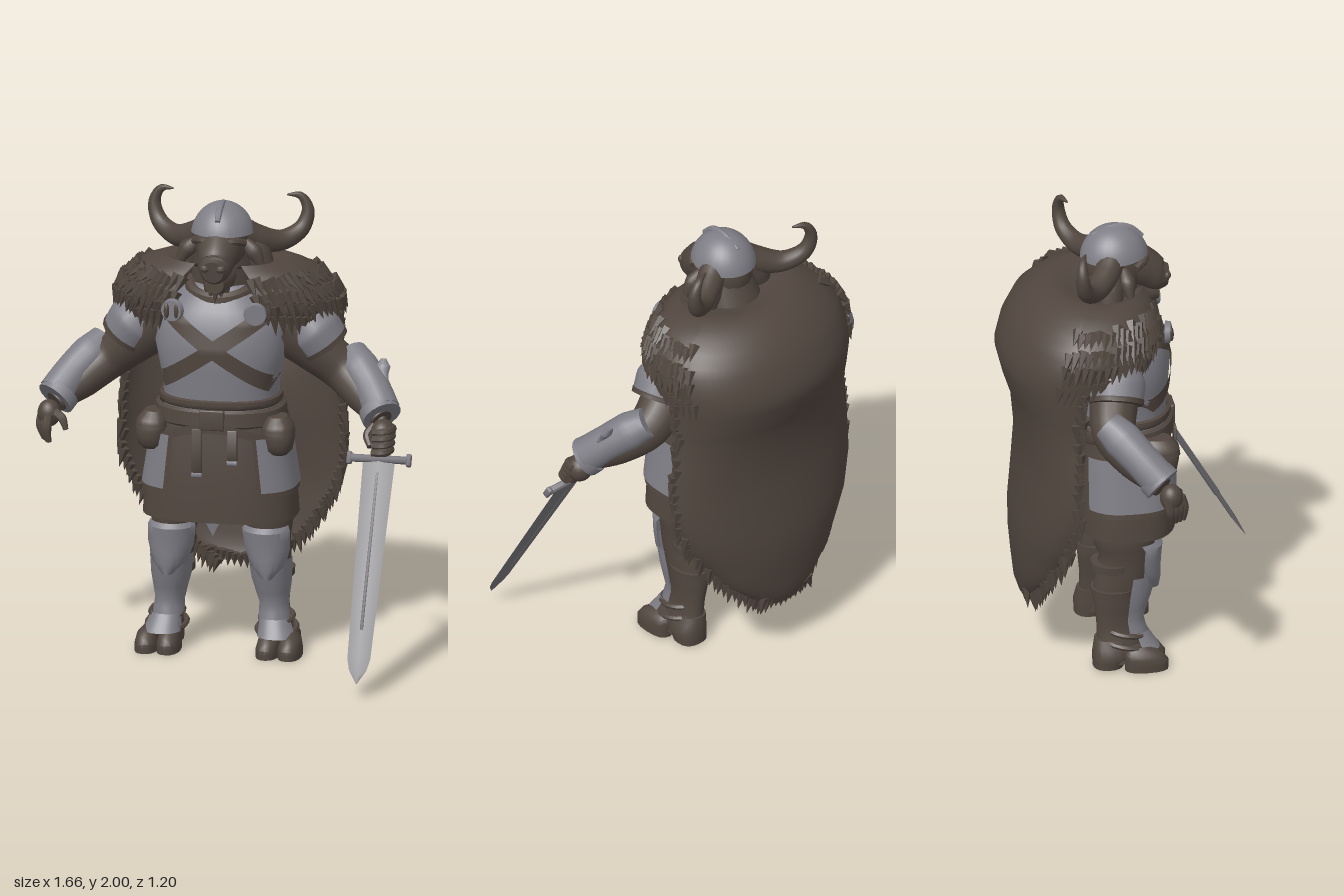
import * as THREE from 'three';
import { toCreasedNormals, mergeGeometries } from 'three/addons/utils/BufferGeometryUtils.js';
import { RoundedBoxGeometry } from 'three/addons/geometries/RoundedBoxGeometry.js';

const material = (name, color) => new THREE.MeshStandardMaterial({ name, color, side: THREE.DoubleSide });
let seed = 7;
const rand = () => (seed = (seed * 16807) % 2147483647) / 2147483647;

// Surface from a rule over two parameters running 0..1
function grid(nu, nv, fn) {
  const pos = [], idx = [];
  for (let j = 0; j <= nv; j++) for (let i = 0; i <= nu; i++) pos.push(...fn(i / nu, j / nv));
  for (let j = 0; j < nv; j++) for (let i = 0; i < nu; i++) {
    const a = j * (nu + 1) + i, b = a + nu + 1;
    idx.push(a, a + 1, b + 1, a, b + 1, b);
  }
  const g = new THREE.BufferGeometry();
  g.setAttribute('position', new THREE.Float32BufferAttribute(pos, 3));
  g.setIndex(idx);
  return g;
}

// Point on stacked rounded sections; rows are [y, half width, front z, back z, centre x]
function rowAt(rows, k) {
  const i = Math.min(Math.floor(k), rows.length - 2), f = k - i;
  return [0, 1, 2, 3, 4].map(c => (rows[i][c] ?? 0) * (1 - f) + (rows[i + 1][c] ?? 0) * f);
}
function sectionPoint(rows, a, k, p = 2.4) {
  const [y, rx, zf, zb, cx] = rowAt(rows, k), s = Math.sin(a), c = Math.cos(a);
  const bend = v => Math.sign(v) * Math.abs(v) ** (2 / p);
  return [cx + rx * bend(s), y, (zf + zb) / 2 + (zf - zb) / 2 * bend(c)];
}
function loft(rows, { n = 36, from = 0, to = Math.PI * 2, p = 2.4, cap = false, warp = q => q } = {}) {
  if (cap) {
    const close = r => [r[0], 0.0001, (r[2] + r[3]) / 2, (r[2] + r[3]) / 2, r[4] ?? 0];
    rows = [close(rows[0]), ...rows, close(rows.at(-1))];
  }
  return grid(n, (rows.length - 1) * 2, (u, v) => {
    const a = from + (to - from) * u;
    return warp(sectionPoint(rows, a, v * (rows.length - 1), p), a);
  });
}

// Round limb along a smooth path; points are [x, y, z, radius]
function limb(pts, { n = 16 } = {}) {
  const curve = new THREE.CatmullRomCurve3(pts.map(q => new THREE.Vector3(q[0], q[1], q[2])));
  const N = (pts.length - 1) * 5, fr = curve.computeFrenetFrames(N);
  return grid(n, N + 2, (u, v) => {
    const j = Math.round(v * (N + 2)) - 1, i = Math.max(0, Math.min(N, j));
    const t = curve.getUtoTmapping(i / N) * (pts.length - 1), k = Math.min(Math.floor(t), pts.length - 2);
    const r = i === j ? pts[k][3] + (pts[k + 1][3] - pts[k][3]) * (t - k) : 0;
    const a = u * Math.PI * 2;
    return curve.getPointAt(i / N).addScaledVector(fr.normals[i], r * Math.cos(a))
      .addScaledVector(fr.binormals[i], r * Math.sin(a)).toArray();
  });
}
const ball = (x, y, z, rx, ry, rz) => new THREE.SphereGeometry(1, 20, 14).scale(rx, ry, rz).translate(x, y, z);
const box = (w, h, d, x, y, z) => new RoundedBoxGeometry(w, h, d, 2, Math.min(w, h, d) * 0.3).translate(x, y, z);

// Pointed fur lock
function tuft(at, dir, len, r) {
  const g = new THREE.ConeGeometry(r, len, 5).translate(0, len * 0.25, 0);
  const q = new THREE.Quaternion().setFromUnitVectors(new THREE.Vector3(0, 1, 0), new THREE.Vector3(...dir).normalize());
  return g.applyQuaternion(q).translate(...at);
}

function mirrored(g) {
  const m = (g.index ? g.toNonIndexed() : g.clone()).scale(-1, 1, 1), p = m.attributes.position;
  for (let i = 0; i < p.count; i += 3) {
    const b = [p.getX(i + 1), p.getY(i + 1), p.getZ(i + 1)];
    p.setXYZ(i + 1, p.getX(i + 2), p.getY(i + 2), p.getZ(i + 2));
    p.setXYZ(i + 2, ...b);
  }
  return m;
}

export function createModel() {
  const model = new THREE.Group(), body = new THREE.Group();
  model.name = 'hornedWarrior';
  body.name = 'body';
  body.position.x = -0.035;
  model.add(body);
  const brown = material('dark brown', 0x51463f), steel = material('steel grey', 0x7f7e86), bladeMat = material('blade grey', 0x77757a);
  const add = (name, geo, mat, parent = body) => {
    geo.deleteAttribute('uv');
    const mesh = new THREE.Mesh(toCreasedNormals(geo, 0.75), mat);
    mesh.name = name;
    parent.add(mesh);
  };
  const pair = (name, geo, mat) => {
    add(name + 'Left', geo, mat);
    add(name + 'Right', mirrored(geo), mat);
  };

  // Torso and crossed straps
  const torso = [[1.08, .245, .125, -.25], [1.2, .25, .135, -.26], [1.38, .285, .148, -.28], [1.5, .265, .125, -.28], [1.59, .19, .075, -.26], [1.64, .13, .03, -.24]];
  add('breastplate', loft(torso, { cap: true }), steel);
  const chestZ = (x, y) => {
    let k = 0;
    while (k < torso.length - 2 && torso[k + 1][0] < y) k++;
    const [, rx, zf, zb] = rowAt(torso, k + (y - torso[k][0]) / (torso[k + 1][0] - torso[k][0]));
    return (zf + zb) / 2 + (zf - zb) / 2 * Math.max(0, 1 - Math.abs(x / rx) ** 2.4) ** (1 / 2.4);
  };
  for (const s of [-1, 1]) add('chestStrap', grid(24, 4, (u, v) => {
    const x = s * (-.225 + .47 * u) + s * (v - .5) * .035, y = 1.54 - .32 * u + (v - .5) * .06;
    return [x, y, chestZ(x, y) + .009];
  }), brown);
  add('collar', new THREE.TorusGeometry(.135, .018, 8, 28).rotateX(Math.PI / 2 + .3).translate(0, 1.6, -.06), steel);
  add('collarLining', new THREE.TorusGeometry(.13, .03, 8, 28).rotateX(Math.PI / 2 + .3).translate(0, 1.63, -.07), brown);

  // Skirt, side plates and belts
  const skirt = [[.62, .335, .165, -.27], [.75, .325, .165, -.27], [.9, .30, .16, -.265], [1.06, .265, .145, -.26]];
  add('skirt', loft(skirt, { p: 2.8 }), brown);
  const plate = (y0, y1, o) => [y0, (y0 + y1) / 2, y1].map(y => [y, .335 - (y - .7) * .16 + o, .165 + o, -.27 - o]);
  pair('sidePlateTrim', loft(plate(.735, 1.01, .006), { from: .5, to: 2.45, n: 20, p: 2.8 }), brown);
  pair('sidePlate', loft(plate(.76, 1.0, .013), { from: .56, to: 2.38, n: 20, p: 2.8 }), steel);
  add('belt', loft([[1.04, .275, .155, -.27], [1.05, .285, .165, -.275], [1.11, .28, .162, -.275], [1.12, .265, .15, -.27]]), brown);
  add('upperBelt', loft([[1.12, .258, .145, -.265], [1.13, .265, .152, -.27], [1.155, .263, .152, -.27], [1.16, .25, .14, -.26]]), brown);
  add('lowBelt', loft([[.99, .3, .165, -.27], [1.03, .292, .165, -.27]], { warp: ([x, y, z], a) => [x, y + .03 * Math.cos(3 * a), z] }), brown);
  add('buckle', box(.11, .09, .02, 0, 1.08, .162), brown);
  for (const [x, h] of [[-.065, .2], [.09, .14]]) {
    add('hangingStrap', box(.045, h, .012, x, 1.04 - h / 2, .166), brown);
    add('strapTip', box(.046, .022, .014, x, 1.035 - h, .166), steel);
  }
  pair('pouch', loft([[.925, .035, .12, .02, .28], [.945, .055, .14, .01, .28], [1.0, .066, .15, 0, .28], [1.05, .06, .142, 0, .275], [1.085, .04, .11, .01, .27]], { cap: true, n: 20, p: 2.6 }), brown);
  pair('pouchFlap', loft([[1.02, .07, .156, 0, .277], [1.055, .066, .15, 0, .275], [1.09, .04, .115, .01, .27]], { n: 20, p: 2.6, cap: true }), brown);
  add('loinTip', new THREE.ConeGeometry(.045, .09, 4).rotateX(Math.PI).scale(1, 1, .3).translate(0, .6, .14), steel);

  // Legs, greaves and hoofed feet
  pair('leg', loft([[.03, .075, -.02, -.21, .25], [.12, .06, 0, -.2, .238], [.2, .055, -.03, -.2, .228], [.34, .078, .01, -.215, .217], [.44, .085, .04, -.2, .212], [.51, .09, .05, -.185, .208], [.6, .105, .06, -.215, .205], [.76, .125, .09, -.225, .16]], { cap: true, p: 2.1 }), brown);
  pair('greave', loft([[.15, .07, .02, -.16, .232], [.22, .064, .004, -.165, .228], [.33, .088, .04, -.19, .22], [.43, .096, .066, -.19, .215]], { from: -1.5, to: 1.5, n: 20, p: 2.1 }), steel);
  pair('kneePlate', loft([[.35, .03, .072, -.1, .218], [.4, .08, .08, -.15, .215], [.48, .104, .082, -.16, .21], [.56, .108, .09, -.16, .206], [.58, .098, .07, -.16, .206]], { from: -1.3, to: 1.3, n: 18, p: 2.1 }), steel);
  for (const [y, cx] of [[.33, .218], [.45, .212]])
    pair('calfBand', loft([[y, .088, -.02, -.222, cx], [y + .035, .09, -.02, -.222, cx]], { p: 2.1, cap: true }), brown);
  pair('anklePlate', loft([[.085, .085, .07, -.13, .25], [.12, .075, .045, -.13, .243], [.16, .066, .02, -.13, .236]], { from: -1.4, to: 1.4, n: 16 }), steel);
  for (const [y, r] of [[.105, .085], [.155, .07]])
    pair('ankleStrap', new THREE.TorusGeometry(r, .012, 6, 20).rotateX(Math.PI / 2 + .2).scale(1, 1, 1.2).translate(.24, y, -.07), brown);
  for (const x of [.217, .313])
    pair('hoofToe', loft([[0, .05, .1, -.09, x], [.04, .05, .1, -.09, x], [.075, .042, .075, -.09, x], [.105, .022, .02, -.07, x - .01]], { cap: true, n: 16 }), brown);
  pair('heel', loft([[.005, .07, -.09, -.22, .255], [.06, .075, -.05, -.222, .255], [.13, .06, -.04, -.21, .24]], { cap: true, n: 20 }), brown);

  // Arms; the guards cover only the outer side of the forearms
  pair('arm', limb([[.26, 1.44, -.12, .115], [.39, 1.34, -.15, .105], [.51, 1.245, -.165, .095], [.62, 1.155, -.085, .08], [.715, 1.08, .01, .048]]), brown);
  pair('shoulderPlate', limb([[.35, 1.47, -.13, .105], [.385, 1.425, -.135, .125], [.43, 1.36, -.145, .116]]), steel);
  pair('shoulderTrim', limb([[.422, 1.37, -.143, .121], [.434, 1.352, -.146, .118]]), brown);
  pair('forearmGuard', limb([[.54, 1.31, -.2, .068], [.59, 1.26, -.145, .084], [.655, 1.195, -.078, .078], [.713, 1.115, -.003, .08]]), steel);
  pair('cuffRim', limb([[.69, 1.125, -.02, .085], [.715, 1.095, .01, .088]]), steel);
  add('palmRight', ball(-.735, 1.04, .045, .05, .06, .05), brown);
  for (let i = 0; i < 4; i++)
    add('fingerRight', limb([[-.765 + i * .012, 1.04, .02 + i * .022, .021], [-.775 + i * .014, .985, .035 + i * .022, .02], [-.755 + i * .01, .925, .045 + i * .018, .011]], { n: 8 }), brown);
  add('thumbRight', limb([[-.71, 1.05, .06, .022], [-.67, 1.03, .085, .019], [-.65, .985, .1, .011]], { n: 8 }), brown);
  add('fistLeft', ball(.725, 1.03, .035, .055, .06, .06), brown);
  for (let i = 0; i < 4; i++)
    add('fingerLeft', limb([[.765, 1.05 - i * .027, .02 + i * .015, .02], [.745, 1.045 - i * .027, .08 + i * .012, .02], [.69, 1.04 - i * .027, .075 + i * .012, .016]], { n: 8 }), brown);
  add('thumbLeft', limb([[.69, 1.06, .03, .022], [.66, 1.02, .05, .02], [.68, .98, .09, .015]], { n: 8 }), brown);

  // Head
  add('neck', limb([[0, 1.52, -.16, .16], [0, 1.66, -.12, .145], [0, 1.78, -.09, .12]]), brown);
  add('skull', ball(0, 1.82, -.08, .118, .16, .145), brown);
  add('forehead', ball(0, 1.85, -.005, .06, .055, .07), brown);
  add('muzzle', limb([[0, 1.82, -.04, .105], [0, 1.775, .05, .085], [0, 1.74, .1, .072], [0, 1.735, .145, .048]]), brown);
  add('jaw', limb([[0, 1.70, -.05, .095], [0, 1.67, .03, .065], [0, 1.67, .105, .042]]), brown);
  pair('nostril', ball(.035, 1.75, .138, .022, .018, .018), brown);
  pair('brow', limb([[.02, 1.845, .055, .016], [.075, 1.845, .03, .018], [.11, 1.83, -.01, .016]], { n: 8 }), brown);
  add('beard', mergeGeometries([0, 1, 2, 3, 4].map(i => tuft([(i - 2) * .02, 1.645, .085 - Math.abs(i - 2) * .02], [(i - 2) * .1, -1, .1], .09 - Math.abs(i - 2) * .012, .026))), brown);
  pair('ear', limb([[.1, 1.82, -.06, .025], [.145, 1.78, -.05, .036], [.185, 1.71, -.04, .01]], { n: 10 }), brown);
  pair('mane', limb([[.09, 1.84, -.13, .05], [.135, 1.76, -.13, .065], [.17, 1.67, -.13, .055]]), brown);

  // Helmet and horns
  add('helmet', new THREE.SphereGeometry(1, 28, 12, 0, Math.PI * 2, 0, 1.4).scale(.138, .158, .15).rotateX(-.05).translate(0, 1.832, -.085), steel);
  add('helmetRidge', limb([[0, 1.93, .035, .012], [0, 1.975, -.02, .016], [0, 1.984, -.08, .015], [0, 1.95, -.18, .01]], { n: 8 }), steel);
  pair('horn', limb([[.06, 1.87, -.1, .06], [.145, 1.815, -.15, .058], [.235, 1.795, -.21, .045], [.312, 1.84, -.26, .036], [.336, 1.92, -.275, .027], [.305, 1.98, -.27, .017], [.25, 1.988, -.25, .004]]), brown);

  // Cloak, from hem to collar
  const cloak = [[.27, .1, -.45, -.5], [.33, .18, -.44, -.52], [.43, .29, -.41, -.53], [.54, .37, -.36, -.54], [.65, .44, -.33, -.54], [.8, .49, -.3, -.525], [1, .49, -.29, -.51], [1.2, .465, -.29, -.53], [1.32, .47, -.285, -.57], [1.43, .475, -.275, -.598], [1.52, .475, -.26, -.575], [1.61, .455, -.225, -.53], [1.69, .37, -.19, -.45], [1.735, .26, -.165, -.36], [1.7, .13, -.12, -.23]]
    .map(([y, w, edge, back]) => [y, w, 2 * edge - back, back]);
  add('cloak', loft(cloak, { from: Math.PI / 2, to: Math.PI * 1.5, n: 36, p: 2 }), brown);
  const locks = [];
  for (let k = 0; k < 9; k += .22) for (const s of [-1, 1])
    locks.push(tuft(sectionPoint(cloak, s * (Math.PI / 2 + .02 + rand() * .12), k, 2), [s * (.05 + rand() * .25), -1, .05], .06 + rand() * .04, .026));
  for (let i = 0; i < 11; i++) locks.push(tuft([(i - 5) * .026, .285 + Math.abs(i - 5) * .005, -.485], [(i - 5) * .06, -1, 0], .06 + rand() * .03, .024));
  add('cloakFringe', mergeGeometries(locks), brown);

  // Fur mantle over each shoulder, running into the cloak
  const mantle = [[1.40, .475, .075, -.593], [1.51, .49, .1, -.578], [1.61, .462, .095, -.535], [1.69, .378, .07, -.45], [1.735, .262, .03, -.36], [1.70, .13, -.01, -.23]];
  const lift = ([x, y, z], a) => [x, y + Math.max(0, 1.62 - y) / .22 * .055 * (1 + Math.cos(a)), z];
  const open = .36, end = 1.95, mantlePoint = (a, k) => lift(sectionPoint(mantle, a, k, 2.15), a);
  pair('furMantle', loft(mantle, { from: open, to: end, n: 24, p: 2.15, warp: lift }), brown);
  const fur = [];
  for (let k = 0; k < 4; k++) for (let i = 0; i <= 19; i++) {
    const a = open + (end - open) * i / 19, row = k ? k * .85 + rand() * .3 : 0;
    const at = mantlePoint(a, row), up = mantlePoint(a, row + .4), down = k ? mantlePoint(a, row - .3) : at;
    fur.push(tuft(at, [down[0] - up[0] + Math.sin(a) * .01, down[1] - up[1], down[2] - up[2] + Math.cos(a) * .01], .065 + rand() * .035, .026));
  }
  pair('mantleFur', mergeGeometries(fur), brown);
  pair('cloakClasp', new THREE.CylinderGeometry(.046, .05, .025, 24).rotateX(Math.PI / 2).rotateY(.2).translate(.182, 1.55, .118), steel);
  for (const s of [-1, 1]) add('claspEmblem', ball(-.182 + s * .022, 1.55, .131, .012, .034, .01), brown);

  // Sword, leaning forward out of the left fist
  const sword = new THREE.Group();
  sword.name = 'sword';
  sword.position.set(.685, .92, .1);
  sword.rotation.x = -.532;
  model.add(sword);
  add('blade', loft([[-.99, .002, .001, -.001], [-.93, .038, .006, -.006], [-.88, .05, .01, -.01], [-.4, .061, .012, -.012], [0, .07, .014, -.014]], { n: 4, p: 2 }), bladeMat, sword);
  add('fuller', box(.014, .7, .027, 0, -.4, 0), bladeMat, sword);
  add('guard', box(.26, .032, .032, 0, .01, 0), bladeMat, sword);
  for (const s of [-1, 1]) add('guardEnd', box(.022, .055, .03, s * .13, .01, 0), bladeMat, sword);
  add('grip', limb([[0, .02, 0, .022], [-.008, .16, 0, .025], [-.016, .3, 0, .02]], { n: 12 }), brown, sword);
  add('pommel', limb([[-.016, .28, 0, .02], [-.02, .33, 0, .034], [-.022, .38, 0, .024], [-.025, .42, 0, .034], [-.025, .455, 0, .012]], { n: 12 }).scale(1, 1, .55), steel, sword);

  return model;
}
